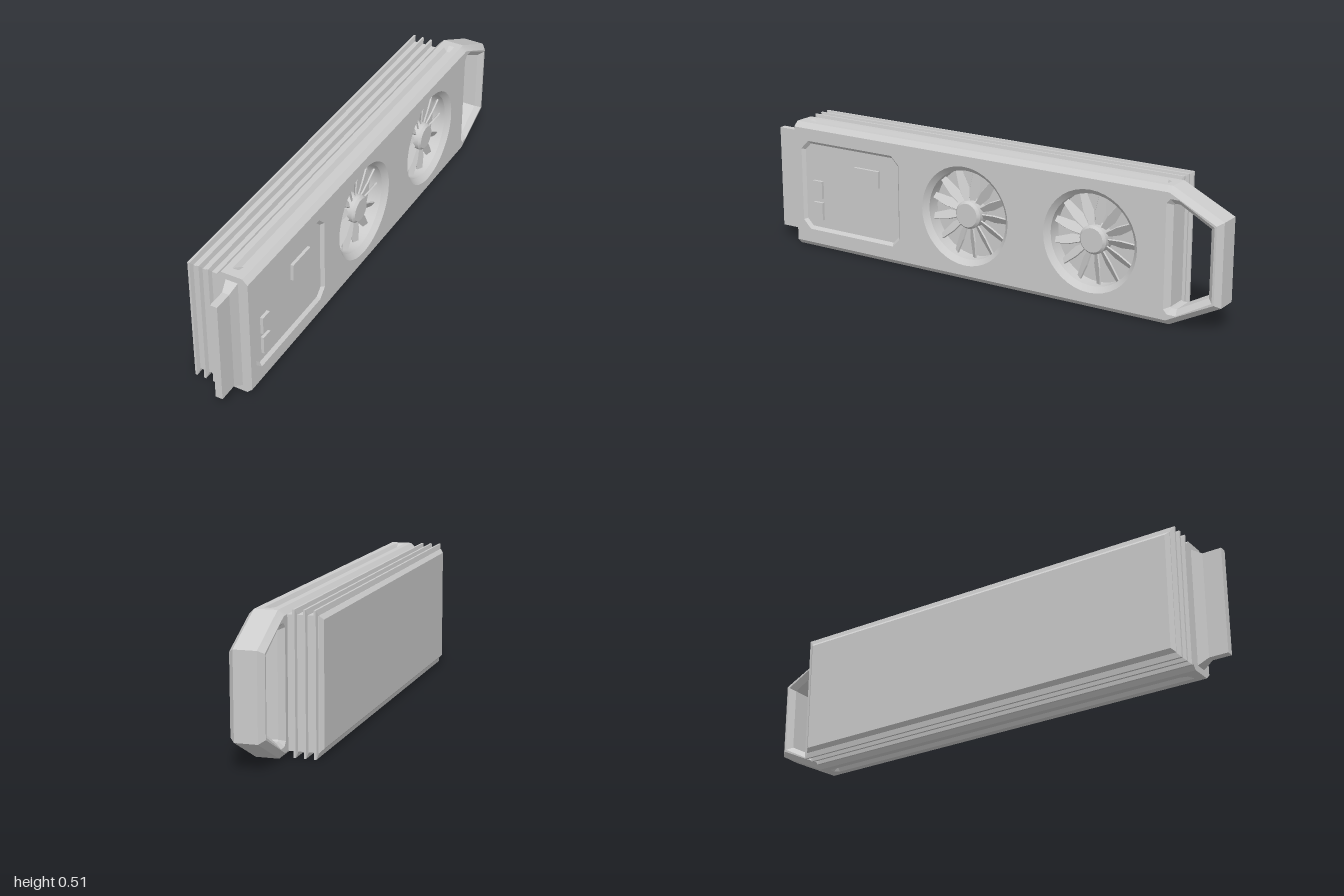
import * as THREE from 'three';
import { toCreasedNormals } from 'three/addons/utils/BufferGeometryUtils.js';

const MID = 0.256; // half height of the casing
const grey = new THREE.MeshStandardMaterial({ color: 0xcccccc });

function add(parent, name, geometry, x = 0, y = 0, z = 0) {
  const mesh = new THREE.Mesh(geometry, grey);
  mesh.name = name;
  mesh.position.set(x, y, z);
  parent.add(mesh);
  return mesh;
}

// Outline in (z, y) pairs -> shape whose extrusion can be turned to run along x
const toPoints = (pairs) => pairs.map(([z, y]) => new THREE.Vector2(-z, y));

// Bevelled plate between x0 and x1; size is how far the rim grows past the outline
function plateGeometry(shape, x0, x1, thickness, size, steps = 1) {
  const geo = new THREE.ExtrudeGeometry(shape, {
    depth: x1 - x0 - 2 * thickness, steps, curveSegments: 20,
    bevelEnabled: true, bevelThickness: thickness, bevelSize: size, bevelSegments: 1,
  });
  return geo.translate(0, 0, x0 + thickness).rotateY(Math.PI / 2);
}

function rectShape(z0, z1, y0, y1) {
  return new THREE.Shape(toPoints([[z1, y0], [z0, y0], [z0, y1], [z1, y1]]));
}

function octagon(z0, z1, y0, y1, c) {
  return toPoints([[z1, y0 + c], [z1 - c, y0], [z0 + c, y0], [z0, y0 + c],
    [z0, y1 - c], [z0 + c, y1], [z1 - c, y1], [z1, y1 - c]]);
}

const fanCentres = [0.065, -0.48];

function casingGeometry() {
  const grooveZ = [0.85, 0.81, -0.75, -0.77];
  const shape = new THREE.Shape(toPoints([
    [0.865, 0.02], ...grooveZ.map((z) => [z, 0.02]), [-0.795, 0.02],
    [-0.98, 0.112], [-0.98, 0.4],
    [-0.795, 0.492], ...grooveZ.slice().reverse().map((z) => [z, 0.492]), [0.865, 0.492],
  ]));
  // Fan wells, instrument panel and handle opening
  for (const z of fanCentres) shape.holes.push(new THREE.Path().absarc(-z, MID, 0.195, 0, Math.PI * 2));
  shape.holes.push(new THREE.Path(octagon(0.37, 0.852, 0.075, 0.442, 0.035)));
  shape.holes.push(new THREE.Path(toPoints([
    [-0.785, 0.06], [-0.8, 0.043], [-0.835, 0.043], [-0.972, 0.118],
    [-0.972, 0.394], [-0.835, 0.469], [-0.8, 0.469], [-0.785, 0.452],
  ])));

  const geo = plateGeometry(shape, 0, 0.124, 0.02, 0.02, 7);
  const p = geo.attributes.position;
  for (let i = 0; i < p.count; i++) {
    const x = p.getX(i), y = p.getY(i), z = p.getZ(i);
    // Flat front end
    if (z > 0.858) p.setZ(i, 0.885);
    // Long sunken groove along the top and bottom
    if (x > 0.05 && x < 0.074 && z > -0.76 && z < 0.82) {
      if (y > 0.505) p.setY(i, y - 0.018);
      if (y < 0.007) p.setY(i, y + 0.018);
    }
  }
  geo.computeVertexNormals();
  return toCreasedNormals(geo, 0.35);
}

// Fan facing +z, to be turned towards +x
function makeFan() {
  const fan = new THREE.Group();
  fan.name = 'fan';
  add(fan, 'fanWellFloor', new THREE.CircleGeometry(0.185, 40));

  const hub = new THREE.LatheGeometry(
    [[0.055, 0], [0.055, 0.048], [0.046, 0.058], [0, 0.058]].map(([r, h]) => new THREE.Vector2(r, h)), 28);
  add(fan, 'fanHub', toCreasedNormals(hub.rotateX(Math.PI / 2), 0.4));

  const outline = [[0.045, -0.008], [0.1, -0.023], [0.174, -0.016], [0.174, 0.008], [0.11, 0.015], [0.045, 0.01]];
  const blade = new THREE.ExtrudeGeometry(
    new THREE.Shape(outline.map(([x, y]) => new THREE.Vector2(x, y))), { depth: 0.006, bevelEnabled: false });
  blade.rotateX(0.6).translate(0, 0, 0.025);
  const count = 13;
  for (let i = 0; i < count; i++) {
    add(fan, 'fanBlade', blade).rotation.z = (i / count) * Math.PI * 2;
  }
  fan.rotation.y = Math.PI / 2;
  return fan;
}

// Collar that narrows from the casing front down to the tab
function collarGeometry() {
  const box = new THREE.BoxGeometry(0.05, 0.468, 0.045);
  const p = box.attributes.position;
  for (let i = 0; i < p.count; i++) {
    if (p.getZ(i) > 0) p.setXY(i, p.getX(i) * 0.56, p.getY(i) * 0.885);
  }
  box.computeVertexNormals();
  return box;
}

export function createModel() {
  const model = new THREE.Group();
  model.name = 'fanCooledUnit';

  add(model, 'casing', casingGeometry());

  // Heat sink: a solid block ringed by three tapered fins
  add(model, 'heatSinkBlock', plateGeometry(rectShape(-0.748, 0.866, 0.034, 0.478), -0.125, 0.02, 0.013, 0.014));
  for (const x of [-0.1015, -0.0645, -0.027]) {
    add(model, 'heatSinkFin', plateGeometry(rectShape(-0.757, 0.877, 0.02, 0.492), x - 0.0085, x + 0.0085, 0.0045, 0.02));
  }

  // Fans
  for (const z of fanCentres) {
    const fan = makeFan();
    fan.position.set(0.05, MID, z);
    model.add(fan);
  }

  // Sunken panel with its raised buttons
  add(model, 'panelFloor', new THREE.BoxGeometry(0.02, 0.36, 0.475), 0.102, 0.2585, 0.611);
  for (const [z, y, w, h] of [[0.53, 0.333, 0.12, 0.068], [0.776, 0.246, 0.045, 0.072], [0.776, 0.157, 0.045, 0.072]]) {
    add(model, 'panelButton', new THREE.BoxGeometry(0.02, h, w), 0.114, y, z);
  }

  // Front tab
  add(model, 'tabCollar', collarGeometry(), 0.062, MID, 0.9025);
  add(model, 'frontTab', new THREE.BoxGeometry(0.028, 0.414, 0.1), 0.062, MID, 0.95);

  return model;
}
